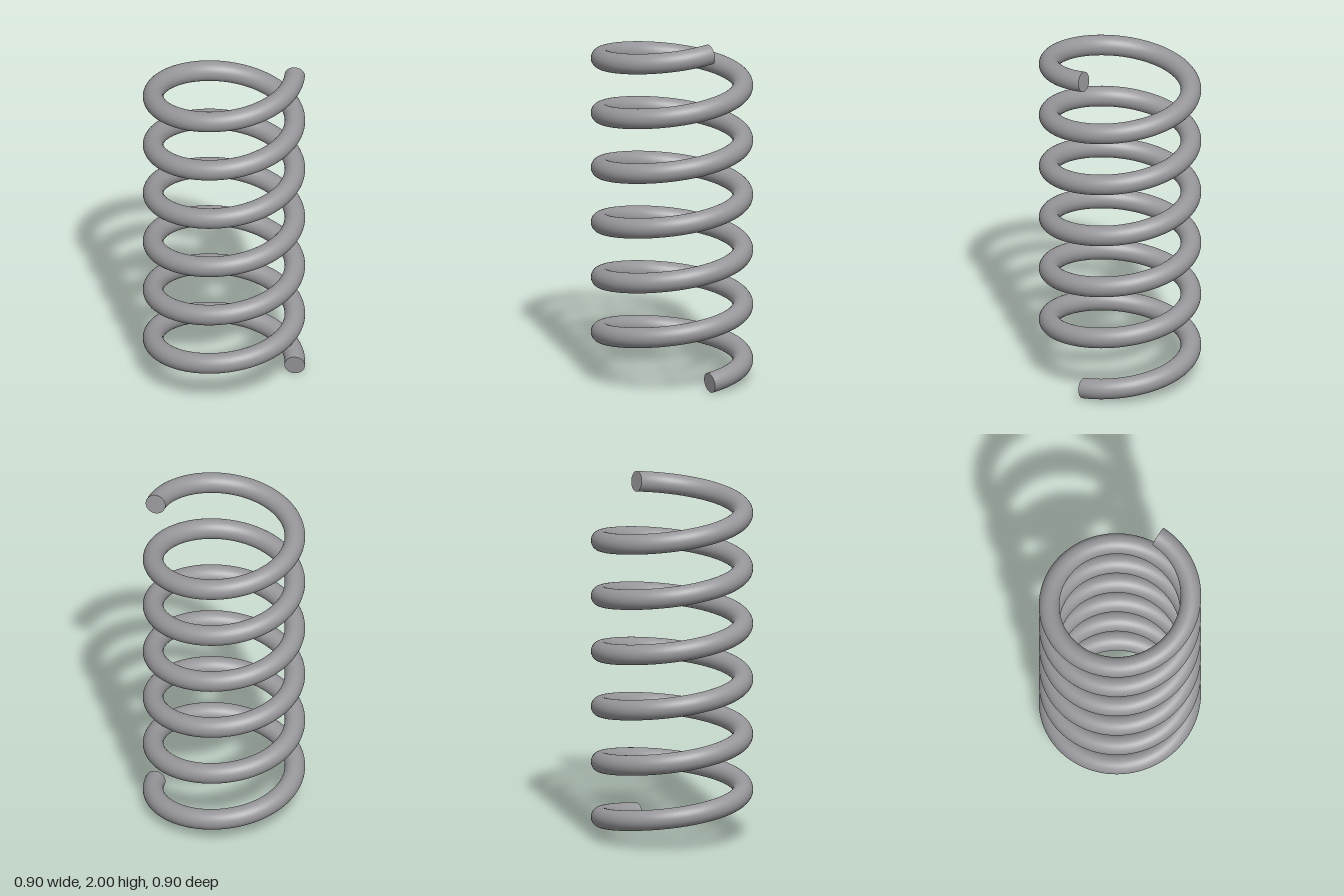
import * as THREE from 'three';

const COIL_RADIUS = 0.394, WIRE_RADIUS = 0.057, TURNS = 6, HEIGHT = 2;
const RISE = HEIGHT - 2 * WIRE_RADIUS;

// Helix that starts and ends at +x and turns towards -z as it climbs
class Helix extends THREE.Curve {
  getPoint(t, target = new THREE.Vector3()) {
    const a = t * TURNS * Math.PI * 2;
    return target.set(COIL_RADIUS * Math.cos(a), WIRE_RADIUS + RISE * t, -COIL_RADIUS * Math.sin(a));
  }
  getTangent(t, target = new THREE.Vector3()) {
    const w = TURNS * Math.PI * 2, a = t * w;
    return target.set(-COIL_RADIUS * w * Math.sin(a), RISE, -COIL_RADIUS * w * Math.cos(a)).normalize();
  }
}

export function createModel() {
  const group = new THREE.Group();
  group.name = 'coilSpring';
  const steel = new THREE.MeshStandardMaterial({ color: 0x97979b });
  const helix = new Helix();
  helix.arcLengthDivisions = 1200;

  // Coiled wire
  const coil = new THREE.Mesh(new THREE.TubeGeometry(helix, TURNS * 96, WIRE_RADIUS, 32), steel);
  coil.name = 'coil';
  group.add(coil);

  // Flat discs closing the cut ends of the wire
  for (const [name, t, direction] of [['lowerEnd', 0, -1], ['upperEnd', 1, 1]]) {
    const cap = new THREE.Mesh(new THREE.CircleGeometry(WIRE_RADIUS, 32), steel);
    cap.name = name;
    cap.position.copy(helix.getPoint(t));
    cap.lookAt(helix.getTangent(t).multiplyScalar(direction).add(cap.position));
    group.add(cap);
  }
  return group;
}
